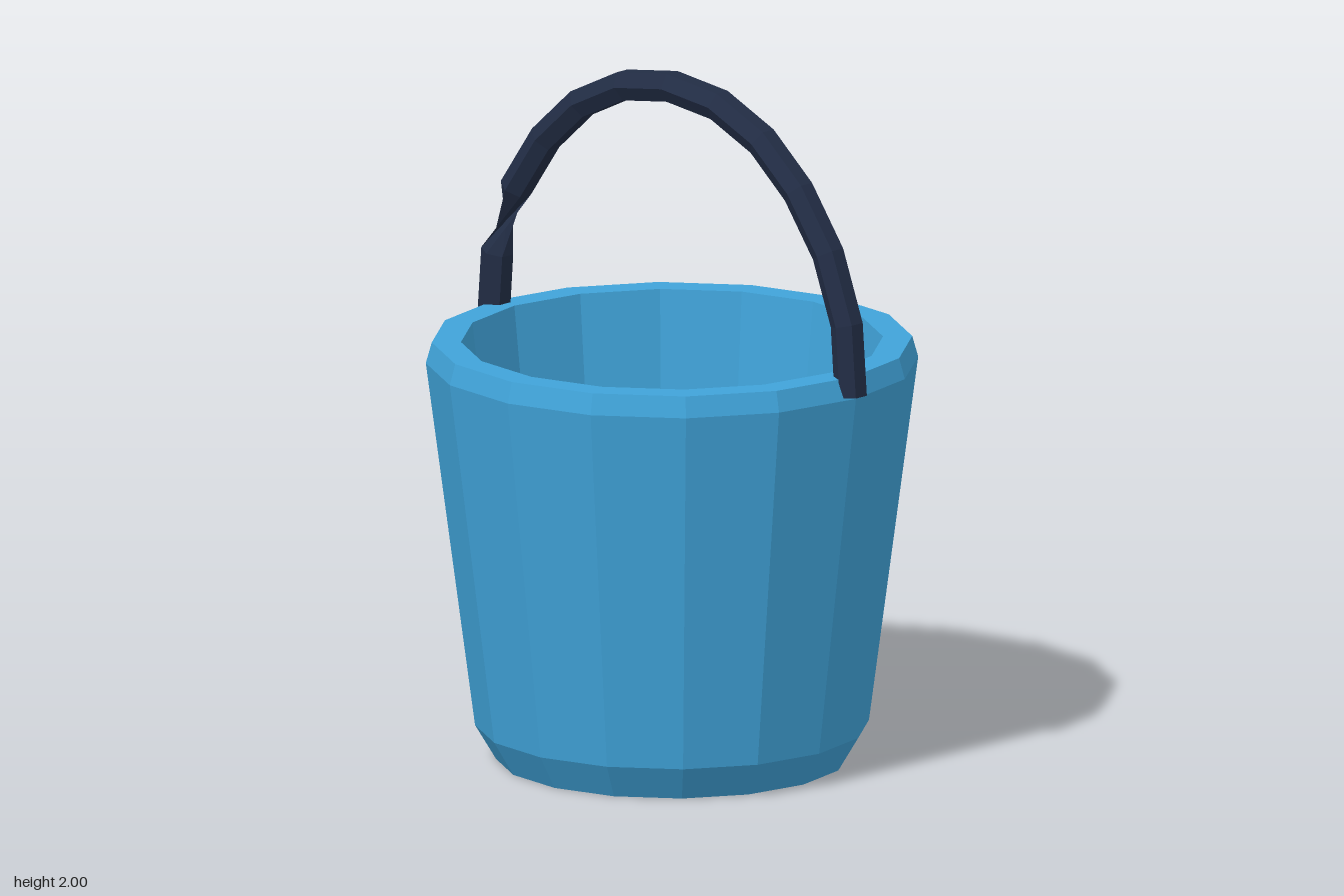
import * as THREE from 'three';

const bucketBlue = new THREE.MeshStandardMaterial({ name: 'bucketBlue', color: 0x40a3d9, flatShading: true });
const handleNavy = new THREE.MeshStandardMaterial({ name: 'handleNavy', color: 0x222d45, flatShading: true, side: THREE.DoubleSide });

// Hexagonal bar swept along a path in the xy plane; one span is twisted by whole sides
function hexBar(path, radius, twistSpan) {
  const sides = 6, positions = [], index = [];
  path.forEach(([x, y], i) => {
    const [ax, ay] = path[Math.max(i - 1, 0)];
    const [bx, by] = path[Math.min(i + 1, path.length - 1)];
    const t = new THREE.Vector2(bx - ax, by - ay).normalize();
    if (i === 0) t.set(-0.06, 1).normalize();
    if (i === path.length - 1) t.set(-0.06, -1).normalize();
    for (let j = 0; j < sides; j++) {
      const a = ((j + 0.5) / sides) * Math.PI * 2;
      const r = radius * Math.cos(a);
      positions.push(x + t.y * r, y - t.x * r, -radius * Math.sin(a));
    }
  });
  for (let i = 0; i < path.length - 1; i++) {
    const shift = i === twistSpan ? 2 : 0;
    for (let j = 0; j < sides; j++) {
      const a = i * sides + j, b = i * sides + (j + 1) % sides;
      const c = (i + 1) * sides + (j + 1 + shift) % sides;
      const d = (i + 1) * sides + (j + shift) % sides;
      index.push(a, b, c, a, c, d);
    }
  }
  // End caps
  const last = (path.length - 1) * sides;
  for (let j = 1; j < sides - 1; j++) {
    index.push(0, j + 1, j, last, last + j, last + j + 1);
  }
  const geometry = new THREE.BufferGeometry();
  geometry.setAttribute('position', new THREE.Float32BufferAttribute(positions, 3));
  geometry.setIndex(index);
  geometry.computeVertexNormals();
  return geometry;
}

export function createModel() {
  const group = new THREE.Group();
  group.name = 'bucket';

  // Tapered pail: chamfered foot, sloped rim and hollow inside
  const profile = [
    [0, 0], [0.5, 0], [0.56, 0.1], [0.7, 1.16], [0.683, 1.22],
    [0.6, 1.22], [0.475, 0.13], [0, 0.13],
  ].map(([r, y]) => new THREE.Vector2(r, y));
  const pail = new THREE.Mesh(new THREE.LatheGeometry(profile, 16), bucketBlue);
  pail.name = 'pail';
  group.add(pail);

  // Arched carrying handle, mirrored from one half
  const half = [[0.68, 1.166], [0.665, 1.37], [0.594, 1.566], [0.481, 1.73], [0.343, 1.855], [0.179, 1.934]];
  const path = [...half, [0, 1.959], ...half.map(([x, y]) => [-x, y]).reverse()];
  const handle = new THREE.Mesh(hexBar(path, 0.047, path.length - 3), handleNavy);
  handle.name = 'handle';
  group.add(handle);

  return group;
}
